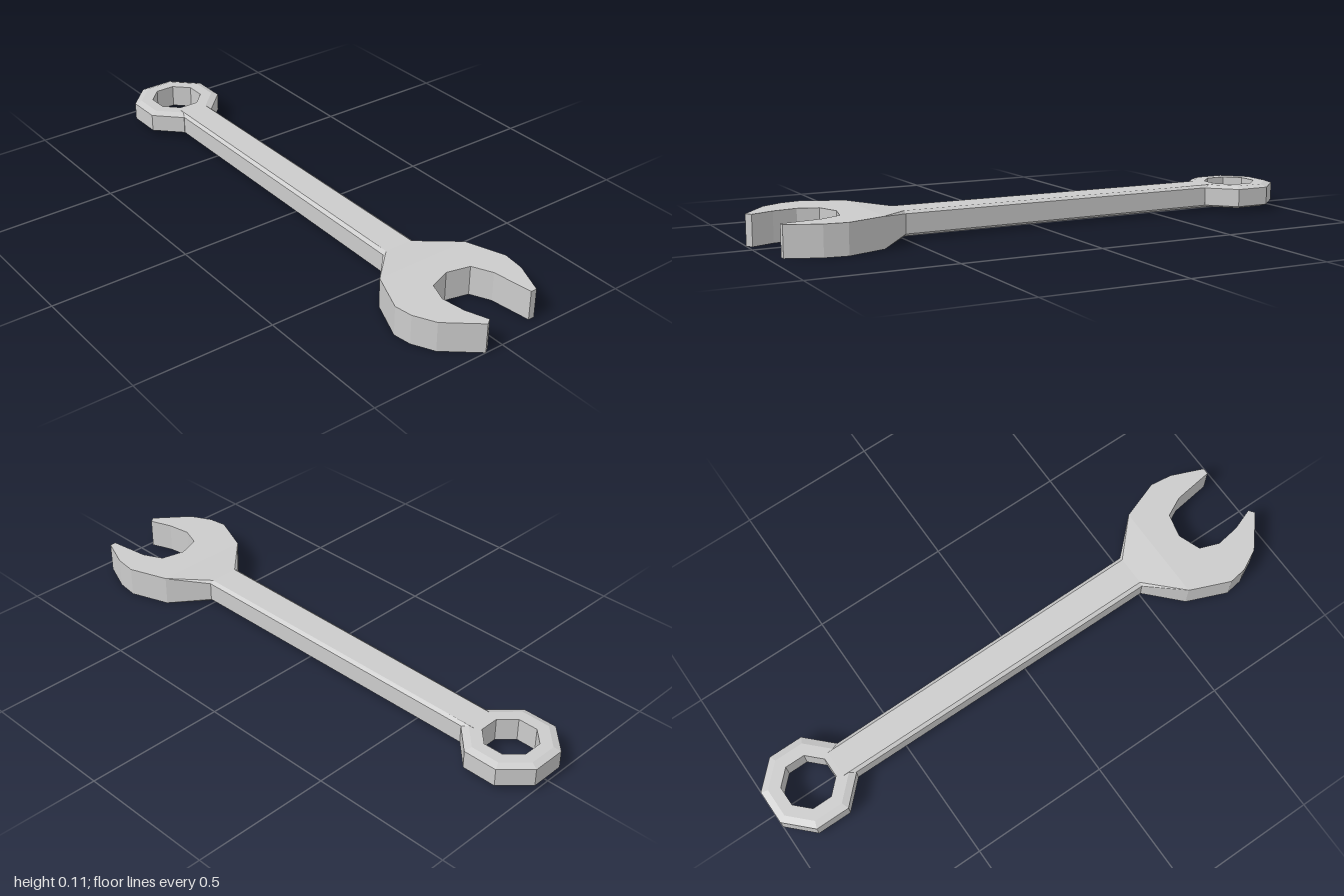
import * as THREE from 'three';

const MID_Y = 0.0535; // half the thickness of the jaw
const MID_Z = -0.006;

const material = new THREE.MeshStandardMaterial({ color: 0xcccccc, flatShading: true });

function part(name, geometry) {
  const flat = geometry.index ? geometry.toNonIndexed() : geometry;
  flat.computeVertexNormals();
  const mesh = new THREE.Mesh(flat, material);
  mesh.name = name;
  return mesh;
}

// Bevelled bar lofted along x; each station is { x, w: half width, h: half height, bz, by: bevel }
function loft(stations) {
  const positions = [], index = [];
  for (const { x, w, h, bz, by } of stations) {
    const section = [
      [h, bz - w], [h, w - bz], [h - by, w], [by - h, w],
      [-h, w - bz], [-h, bz - w], [by - h, -w], [h - by, -w],
    ];
    for (const [y, z] of section) positions.push(x, MID_Y + y, MID_Z + z);
  }
  for (let i = 0; i < stations.length - 1; i++) {
    for (let j = 0; j < 8; j++) {
      const a = i * 8 + j, b = i * 8 + (j + 1) % 8;
      index.push(a, b, a + 8, b, b + 8, a + 8);
    }
  }
  const geometry = new THREE.BufferGeometry();
  geometry.setAttribute('position', new THREE.Float32BufferAttribute(positions, 3));
  geometry.setIndex(index);
  return geometry;
}

export function createModel() {
  const group = new THREE.Group();
  group.name = 'combinationWrench';

  // Eight-sided ring end with bevelled outer rims
  const corner = 1 / Math.cos(Math.PI / 8);
  const profile = [
    [0.087, -0.041], [0.127, -0.041], [0.151, -0.032], [0.151, 0.032],
    [0.127, 0.041], [0.087, 0.041], [0.087, -0.041],
  ].map(([r, y]) => new THREE.Vector2(r * corner, y));
  const ring = part('ringEnd', new THREE.LatheGeometry(profile, 8, Math.PI / 8));
  ring.position.set(-0.849, MID_Y, MID_Z);
  group.add(ring);

  // Bevelled handle, slightly wider towards the jaw
  const jawStart = { x: 0.5, w: 0.066, h: 0.043, bz: 0.013, by: 0.009 };
  group.add(part('handle', loft([
    { x: -0.74, w: 0.061, h: 0.0415, bz: 0.012, by: 0.009 },
    jawStart,
  ])));

  // Neck flaring out to the full size of the jaw
  group.add(part('neck', loft([
    jawStart,
    { x: 0.62, w: 0.179, h: MID_Y, bz: 0.001, by: 0.001 },
  ])));

  // Open jaw, outline as (x, z)
  const outline = [
    [0.62, -0.185], [0.76, -0.235], [0.84, -0.225], [0.955, -0.178], [0.955, -0.155],
    [0.81, -0.135], [0.74, -0.1], [0.72, -0.015], [0.75, 0.065], [0.82, 0.09],
    [0.905, 0.077], [0.985, 0.047], [1.0, 0.068], [0.905, 0.183], [0.83, 0.222],
    [0.765, 0.232], [0.62, 0.173],
  ].map(([x, z]) => new THREE.Vector2(x, -z));
  const jaw = new THREE.ExtrudeGeometry(new THREE.Shape(outline), {
    depth: 2 * MID_Y, bevelEnabled: false,
  });
  jaw.rotateX(-Math.PI / 2);
  group.add(part('openJaw', jaw));

  return group;
}
